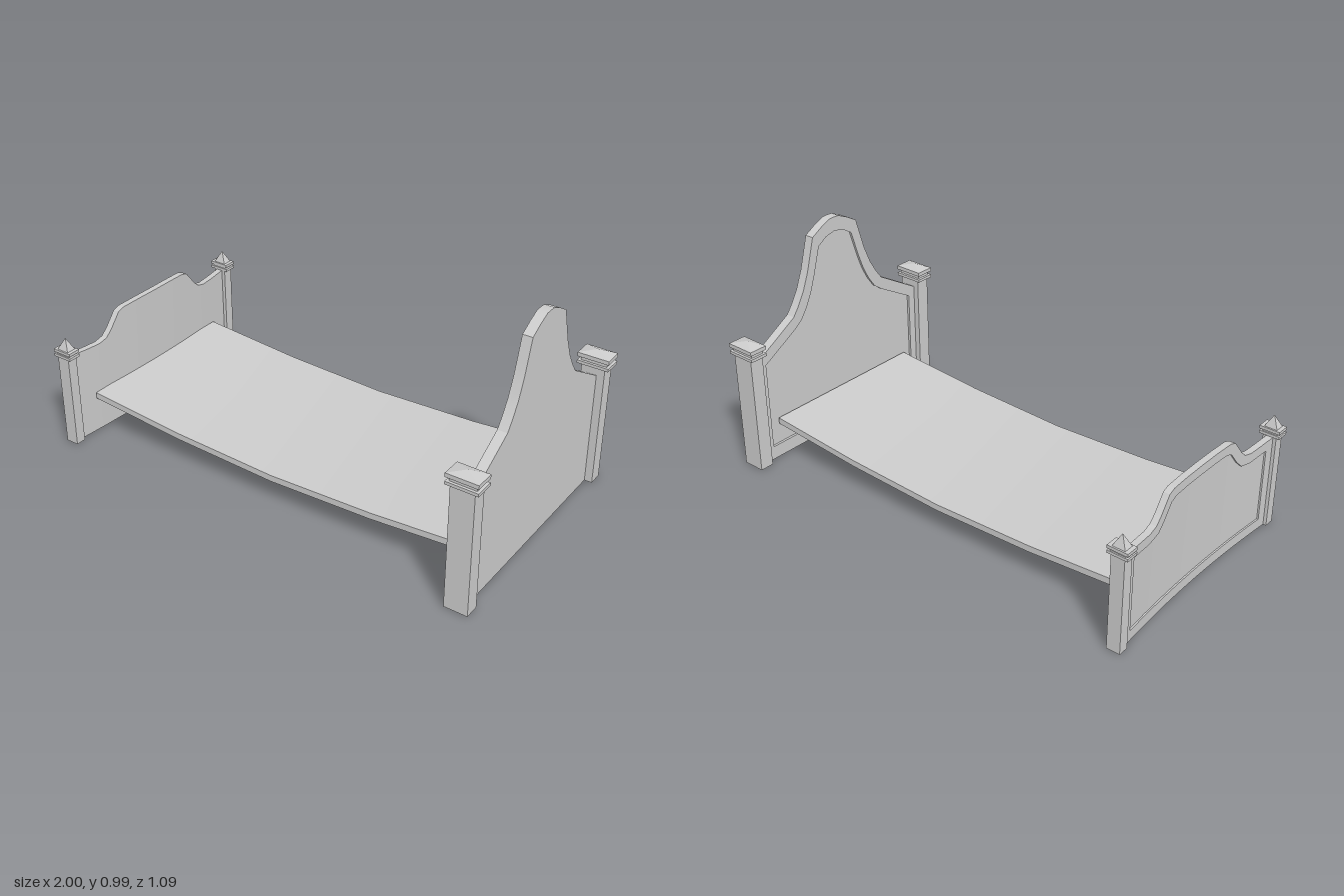
import * as THREE from 'three';
import { toCreasedNormals } from 'three/addons/utils/BufferGeometryUtils.js';

const material = new THREE.MeshStandardMaterial({ color: 0xcccccc });

function addMesh(parent, name, geometry, x = 0, y = 0, z = 0) {
  const mesh = new THREE.Mesh(geometry, material);
  mesh.name = name;
  mesh.position.set(x, y, z);
  parent.add(mesh);
  return mesh;
}

// Piecewise-linear height from [z, y] points, mirrored about z = 0
function profile(points) {
  return (z) => {
    const a = Math.abs(z);
    for (let i = 1; i < points.length; i++) {
      const [z0, y0] = points[i - 1], [z1, y1] = points[i];
      if (a <= z1) return y0 + (y1 - y0) * (a - z0) / (z1 - z0);
    }
    return points[points.length - 1][1];
  };
}

// Upright slab running along z, between heights lo(z) and hi(z), bowed in x
function strip(zs, lo, hi, x0, x1, bow) {
  const n = zs.length - 1;
  const geometry = new THREE.BoxGeometry(1, 1, 1, 1, 1, n);
  const p = geometry.attributes.position;
  for (let i = 0; i < p.count; i++) {
    const z = zs[Math.round((p.getZ(i) + 0.5) * n)];
    p.setXYZ(i, (p.getX(i) < 0 ? x0 : x1) + bow(z), p.getY(i) < 0 ? lo(z) : hi(z), z);
  }
  return toCreasedNormals(geometry, 0.4);
}

// End board: plain inner slab plus a raised frame on the -x face
function endBoard(name, { outer, inner, xFrame, xPanel, xBack, railHeight, bow }) {
  const group = new THREE.Group();
  group.name = name;
  const hi = profile(outer), opening = profile(inner);
  const edge = outer[outer.length - 1][0];
  const stile = inner[inner.length - 1][0];
  const half = [...new Set([...outer, ...inner].map((q) => q[0]))].sort((a, b) => a - b);
  const zs = [...half.slice(1).reverse().map((z) => -z), ...half];
  const middle = zs.filter((z) => Math.abs(z) <= stile);
  const floor = () => 0;
  addMesh(group, 'panel', strip(zs, floor, hi, xPanel, xBack, bow));
  addMesh(group, 'topRail', strip(middle, opening, hi, xFrame, xPanel, bow));
  addMesh(group, 'bottomRail', strip(middle, floor, () => railHeight, xFrame, xPanel, bow));
  addMesh(group, 'stileLeft', strip([stile, edge], floor, hi, xFrame, xPanel, bow));
  addMesh(group, 'stileRight', strip([-edge, -stile], floor, hi, xFrame, xPanel, bow));
  return group;
}

// Square post: stacked blocks [bottom, top, x width, z width] under a pyramid
function post(name, x, z, blocks, tip) {
  const group = new THREE.Group();
  group.name = name;
  group.position.set(x, 0, z);
  blocks.forEach(([y0, y1, wx, wz], i) =>
    addMesh(group, i ? 'capBlock' : 'shaft', new THREE.BoxGeometry(wx, y1 - y0, wz), 0, (y0 + y1) / 2, 0));
  const [y0, y1, wx, wz] = tip;
  const cone = new THREE.ConeGeometry(Math.SQRT1_2, 1, 4, 1).rotateY(Math.PI / 4);
  cone.scale(wx, y1 - y0, wz);
  addMesh(group, 'pyramid', toCreasedNormals(cone, 0.1), 0, (y0 + y1) / 2, 0);
  return group;
}

export function createModel() {
  const bed = new THREE.Group();
  bed.name = 'bed';

  // Tall headboard with a bell-shaped crest
  bed.add(endBoard('headboard', {
    outer: [[0, 0.986], [0.026, 0.985], [0.075, 0.963], [0.126, 0.934], [0.168, 0.791],
      [0.2, 0.713], [0.233, 0.658], [0.263, 0.617], [0.471, 0.495]],
    inner: [[0, 0.925], [0.05, 0.913], [0.095, 0.885], [0.13, 0.77], [0.155, 0.7],
      [0.185, 0.64], [0.22, 0.59], [0.26, 0.56], [0.435, 0.46]],
    xFrame: 0.906, xPanel: 0.917, xBack: 0.947, railHeight: 0.06, bow: () => 0,
  }));

  // Low footboard, bowed towards the middle of the bed
  bed.add(endBoard('footboard', {
    outer: [[0, 0.515], [0.1, 0.515], [0.19, 0.513], [0.22, 0.503], [0.27, 0.44],
      [0.3, 0.412], [0.34, 0.402], [0.4, 0.404], [0.49, 0.41]],
    inner: [[0, 0.475], [0.1, 0.475], [0.17, 0.473], [0.2, 0.462], [0.245, 0.405],
      [0.28, 0.372], [0.34, 0.36], [0.445, 0.365]],
    xFrame: -0.95, xPanel: -0.943, xBack: -0.922, railHeight: 0.045,
    bow: (z) => -0.02 * (z / 0.47) ** 2,
  }));

  // Corner posts
  for (const [side, s] of [['Left', 1], ['Right', -1]]) {
    bed.add(post('headPost' + side, 0.93, s * 0.502, [
      [0, 0.53, 0.099, 0.063],
      [0.53, 0.543, 0.133, 0.082],
      [0.543, 0.56, 0.11, 0.06],
      [0.56, 0.577, 0.133, 0.082],
    ], [0.577, 0.594, 0.133, 0.082]));
    bed.add(post('footPost' + side, -0.956, s * 0.507, [
      [0, 0.412, 0.058, 0.045],
      [0.412, 0.424, 0.088, 0.056],
      [0.424, 0.432, 0.065, 0.045],
      [0.432, 0.445, 0.088, 0.056],
    ], [0.445, 0.496, 0.056, 0.042]));
  }

  // Sagging base between the end boards
  const sag = [[-0.93, 0.186], [-0.465, 0.149], [0, 0.132], [0.465, 0.149], [0.91, 0.184]];
  const outline = [...sag, ...sag.map(([x, y]) => [x, y - 0.028]).reverse()];
  const base = new THREE.ExtrudeGeometry(
    new THREE.Shape(outline.map(([x, y]) => new THREE.Vector2(x, y))),
    { depth: 0.78, bevelEnabled: false });
  addMesh(bed, 'bedBase', toCreasedNormals(base, 0.4), 0, 0, -0.39);

  return bed;
}
